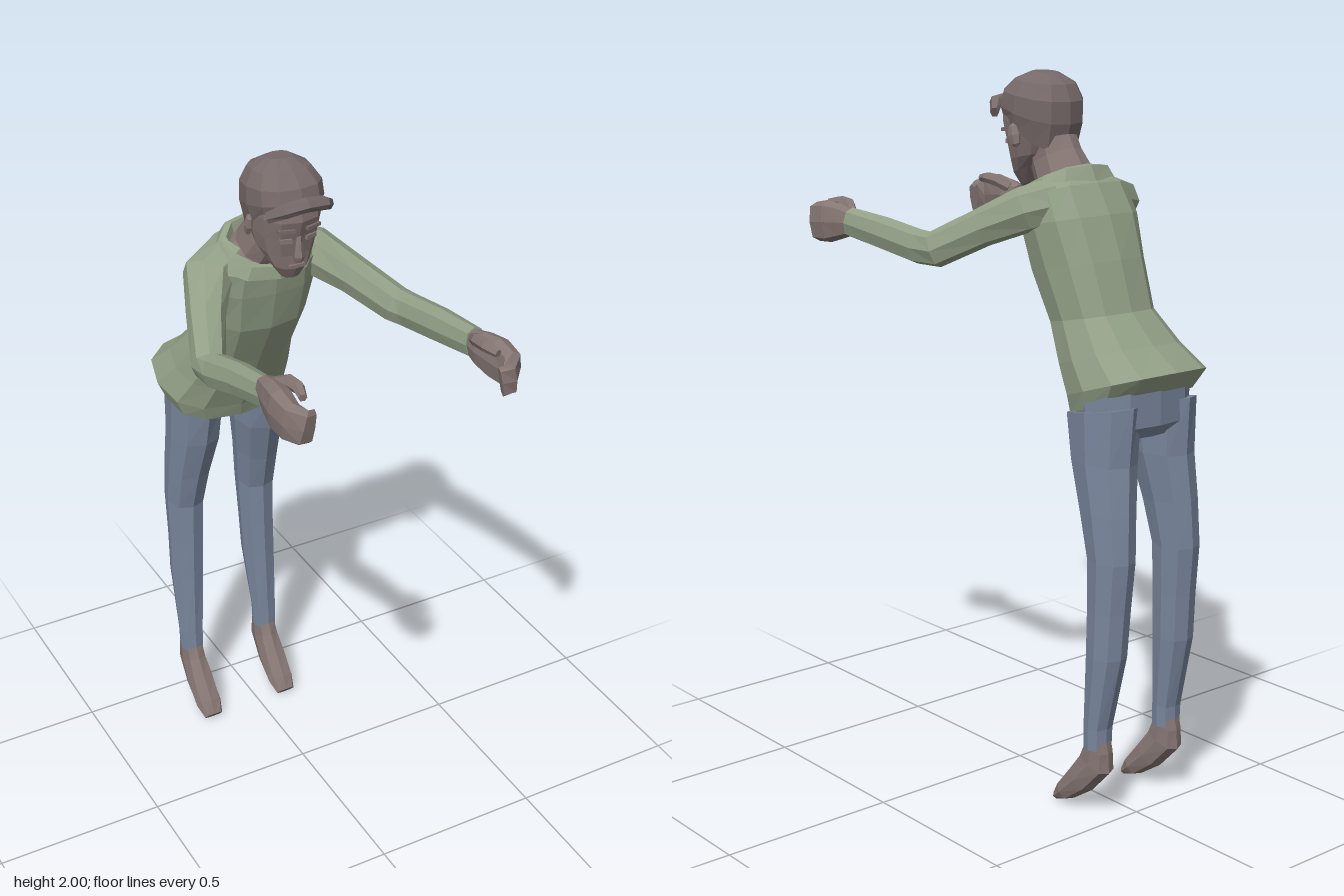
import * as THREE from 'three';

const mat = (name, color) => {
  const m = new THREE.MeshStandardMaterial({ color, side: THREE.DoubleSide });
  m.name = name;
  return m;
};
const V = (x, y, z) => new THREE.Vector3(x, y, z);
const CX = -0.037; // body centre line

// Skin a list of rings {c, u, v}: centre and two half axes, faceted
function loft(rings, n = 10, pow = 0.85, caps = true) {
  const pos = [], idx = [];
  const sq = (t) => Math.sign(t) * Math.pow(Math.abs(t), pow);
  rings.forEach(({ c, u, v }) => {
    for (let j = 0; j < n; j++) {
      const a = (j / n) * Math.PI * 2;
      const p = c.clone().addScaledVector(u, sq(Math.cos(a))).addScaledVector(v, sq(Math.sin(a)));
      pos.push(p.x, p.y, p.z);
    }
  });
  const last = rings.length - 1;
  for (let i = 0; i < last; i++) {
    for (let j = 0; j < n; j++) {
      const k = (j + 1) % n, a = i * n + j, b = i * n + k;
      idx.push(a, b, b + n, a, b + n, a + n);
    }
  }
  if (caps) {
    const s = rings.length * n;
    pos.push(...rings[0].c.toArray(), ...rings[last].c.toArray());
    for (let j = 0; j < n; j++) {
      const k = (j + 1) % n;
      idx.push(s, k, j, s + 1, last * n + j, last * n + k);
    }
  }
  const g = new THREE.BufferGeometry();
  g.setAttribute('position', new THREE.Float32BufferAttribute(pos, 3));
  g.setIndex(idx);
  const flat = g.toNonIndexed();
  flat.computeVertexNormals();
  return flat;
}

// Stacked section: front z, y, back z, y, half width, optional centre x
const stack = (rows, cx = CX) => rows.map(([fz, fy, bz, by, w, x = cx]) => ({
  c: V(x, (fy + by) / 2, (fz + bz) / 2),
  u: V(0, (fy - by) / 2, (fz - bz) / 2),
  v: V(w, 0, 0),
}));

// Limb section along a path: x, y, z, horizontal radius, vertical radius
const limb = (pts) => pts.map(([x, y, z, ru, rv = ru], i) => {
  const a = pts[Math.max(i - 1, 0)], b = pts[Math.min(i + 1, pts.length - 1)];
  const t = V(b[0] - a[0], b[1] - a[1], b[2] - a[2]).normalize();
  const u = t.clone().cross(V(0, 1, 0)).normalize();
  const v = t.clone().cross(u);
  return { c: V(x, y, z), u: u.multiplyScalar(ru), v: v.multiplyScalar(rv) };
});

export function createModel() {
  const skin = mat('skin', 0x857673);
  const hairMat = mat('hair', 0x766a69);
  const shirt = mat('shirt', 0x929f86);
  const denim = mat('trousers', 0x7a879e);
  const model = new THREE.Group();
  model.name = 'figure';
  const add = (name, geo, material, parent = model) => {
    const m = new THREE.Mesh(geo, material);
    m.name = name;
    parent.add(m);
    return m;
  };
  const group = (name) => {
    const g = new THREE.Group();
    g.name = name;
    model.add(g);
    return g;
  };

  // Leaning torso, from hem to neckline
  add('sweaterBody', loft(stack([
    [-0.285, 1.105, -0.525, 1.185, 0.178, -0.05],
    [-0.27, 1.15, -0.57, 1.245, 0.195, -0.055],
    [-0.235, 1.23, -0.49, 1.305, 0.172, -0.045],
    [-0.18, 1.34, -0.412, 1.385, 0.143, -0.04],
    [-0.112, 1.47, -0.37, 1.52, 0.152],
    [-0.085, 1.585, -0.325, 1.635, 0.165],
    [-0.075, 1.65, -0.275, 1.715, 0.158],
    [-0.085, 1.665, -0.25, 1.735, 0.12],
  ]), 12, 0.8), shirt);
  add('collar', loft(stack([
    [-0.055, 1.645, -0.27, 1.72, 0.145],
    [-0.06, 1.68, -0.25, 1.76, 0.12],
    [-0.085, 1.685, -0.232, 1.762, 0.1],
    [-0.09, 1.665, -0.225, 1.735, 0.095],
  ]), 10, 0.9, false), shirt);

  // Neck and head
  const head = group('head');
  add('neck', loft(stack([
    [-0.08, 1.655, -0.23, 1.725, 0.1],
    [-0.075, 1.68, -0.222, 1.745, 0.075],
    [-0.035, 1.74, -0.18, 1.8, 0.06],
    [-0.02, 1.8, -0.15, 1.85, 0.06],
  ])), skin, head);
  add('face', loft(stack([
    [0.015, 1.682, -0.03, 1.7, 0.03],
    [0.032, 1.715, -0.07, 1.75, 0.058],
    [0.036, 1.755, -0.115, 1.785, 0.077],
    [0.048, 1.805, -0.145, 1.835, 0.089],
    [0.066, 1.86, -0.16, 1.88, 0.095],
    [0.06, 1.92, -0.155, 1.93, 0.096],
    [0.02, 1.965, -0.12, 1.96, 0.07],
  ]), 12), skin, head);
  add('hair', loft(stack([
    [0.062, 1.9, -0.145, 1.785, 0.092],
    [0.07, 1.915, -0.165, 1.86, 0.102],
    [0.058, 1.95, -0.166, 1.92, 0.1],
    [0.02, 1.98, -0.145, 1.965, 0.078],
    [-0.03, 2.0, -0.095, 1.995, 0.035],
  ]), 12), hairMat, head);
  add('quiff', loft(limb([
    [CX + 0.09, 1.885, 0.045, 0.012, 0.015],
    [CX + 0.055, 1.91, 0.08, 0.02, 0.018],
    [CX, 1.918, 0.087, 0.02, 0.018],
    [CX - 0.055, 1.91, 0.08, 0.02, 0.018],
    [CX - 0.09, 1.885, 0.045, 0.012, 0.015],
  ]), 6), hairMat, head);
  add('nose', loft(stack([
    [0.056, 1.742, 0.03, 1.742, 0.014],
    [0.064, 1.757, 0.03, 1.76, 0.016],
    [0.058, 1.815, 0.03, 1.815, 0.008],
  ]), 5, 1), skin, head);
  add('lips', new THREE.BoxGeometry(0.045, 0.009, 0.01), skin, head).position.set(CX, 1.725, 0.034);
  for (const s of [-1, 1]) {
    const ear = add('ear', new THREE.SphereGeometry(1, 6, 4).toNonIndexed(), skin, head);
    ear.geometry.computeVertexNormals();
    ear.scale.set(0.012, 0.034, 0.02);
    ear.position.set(CX + s * 0.097, 1.83, -0.048);
    ear.rotation.set(0.25, s * 0.35, 0);
    const brow = add('brow', new THREE.BoxGeometry(0.046, 0.009, 0.012), hairMat, head);
    brow.position.set(CX + s * 0.039, 1.838, 0.052);
    brow.rotation.y = s * 0.3;
    const eye = add('eye', new THREE.BoxGeometry(0.034, 0.012, 0.008), skin, head);
    eye.position.set(CX + s * 0.037, 1.806, 0.043);
    eye.rotation.y = s * 0.3;
  }

  // Sleeves, each bent at the elbow and reaching forward
  const sleeves = {
    left: [
      [0.05, 1.665, -0.2, 0.07, 0.065], [0.125, 1.645, -0.165, 0.07, 0.062],
      [0.195, 1.595, -0.075, 0.053, 0.052], [0.272, 1.532, 0.03, 0.046, 0.05],
      [0.284, 1.535, 0.085, 0.042, 0.048], [0.293, 1.555, 0.22, 0.04, 0.047],
      [0.303, 1.573, 0.375, 0.031, 0.042],
    ],
    right: [
      [-0.12, 1.665, -0.2, 0.07, 0.065], [-0.2, 1.645, -0.165, 0.07, 0.062],
      [-0.255, 1.585, -0.065, 0.053, 0.052], [-0.304, 1.505, 0.045, 0.046, 0.05],
      [-0.303, 1.512, 0.095, 0.042, 0.048], [-0.298, 1.55, 0.22, 0.038, 0.045],
      [-0.3, 1.59, 0.375, 0.031, 0.04],
    ],
  };
  for (const [side, pts] of Object.entries(sleeves)) add(side + 'Sleeve', loft(limb(pts), 8), shirt);

  // Half-closed hands with thumbs
  const palm = [
    [0.302, 1.573, 0.36, 0.025, 0.033], [0.306, 1.572, 0.41, 0.034, 0.048],
    [0.315, 1.568, 0.465, 0.034, 0.06], [0.317, 1.562, 0.52, 0.028, 0.056],
    [0.297, 1.555, 0.55, 0.02, 0.05], [0.272, 1.55, 0.545, 0.013, 0.045],
  ];
  const thumb = [
    [0.29, 1.595, 0.39, 0.016], [0.273, 1.615, 0.43, 0.018],
    [0.27, 1.62, 0.475, 0.016], [0.28, 1.615, 0.515, 0.011],
  ];
  for (const [side, s, dy] of [['left', 1, 0], ['right', -1, 0.03]]) {
    const hand = group(side + 'Hand');
    const place = (pts) => limb(pts.map(([x, y, z, ...r]) => [s * x, y + dy, z, ...r]));
    add('palmAndFingers', loft(place(palm), 8, 0.7), skin, hand);
    add('thumb', loft(place(thumb), 6), skin, hand);
  }

  // Trousers: seat and two legs
  add('trouserSeat', loft(stack([
    [-0.36, 1.06, -0.5, 1.065, 0.1],
    [-0.315, 1.09, -0.53, 1.1, 0.165],
    [-0.3, 1.15, -0.53, 1.2, 0.168],
  ]), 12, 0.75), denim);
  for (const s of [-1, 1]) {
    const side = s > 0 ? 'left' : 'right';
    const at = (d) => CX + s * d;
    add(side + 'TrouserLeg', loft(stack([
      [-0.403, 0.195, -0.475, 0.2, 0.036, at(0.13)],
      [-0.405, 0.26, -0.476, 0.26, 0.038, at(0.13)],
      [-0.41, 0.47, -0.522, 0.47, 0.048, at(0.125)],
      [-0.41, 0.6, -0.53, 0.6, 0.05, at(0.122)],
      [-0.408, 0.74, -0.542, 0.74, 0.054, at(0.12)],
      [-0.375, 0.86, -0.535, 0.87, 0.06, at(0.115)],
      [-0.33, 1.0, -0.525, 1.0, 0.069, at(0.105)],
      [-0.305, 1.12, -0.535, 1.16, 0.07, at(0.102)],
    ]), 8, 0.8), denim);
    // Bare foot pointing downward
    add(side + 'Foot', loft(stack([
      [-0.283, 0.02, -0.297, 0, 0.03],
      [-0.305, 0.06, -0.345, 0.015, 0.041],
      [-0.35, 0.12, -0.42, 0.065, 0.041],
      [-0.385, 0.17, -0.487, 0.135, 0.035],
      [-0.405, 0.21, -0.483, 0.19, 0.032],
      [-0.41, 0.25, -0.468, 0.25, 0.03],
    ], at(0.13)), 8, 0.75), skin);
  }
  return model;
}
